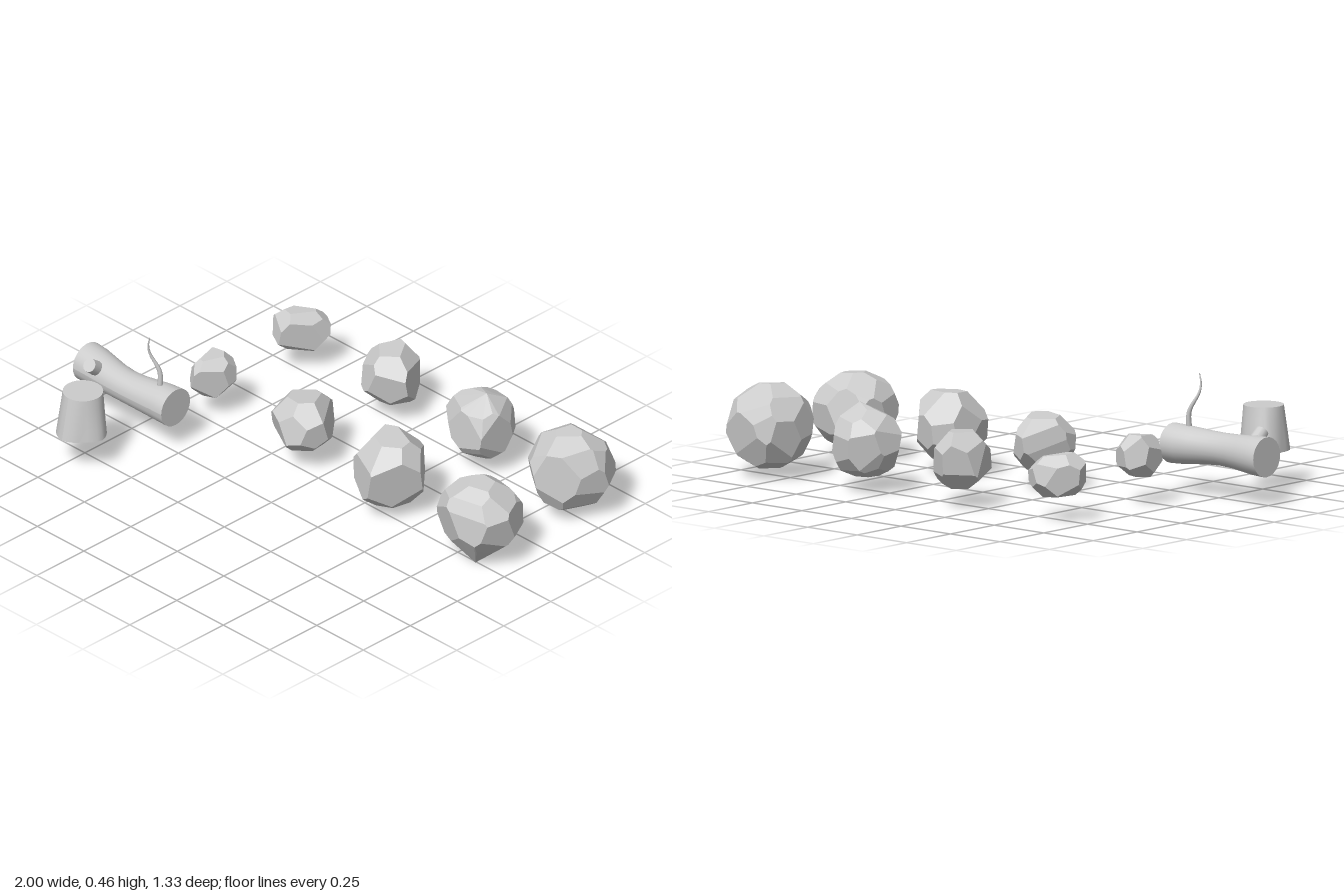
import * as THREE from 'three';
import { ConvexGeometry } from 'three/addons/geometries/ConvexGeometry.js';

const grey = new THREE.MeshStandardMaterial({ color: 0xcccccc });
const greyThin = new THREE.MeshStandardMaterial({ color: 0xcccccc, side: THREE.DoubleSide });

function part(name, geometry, material = grey) {
  const mesh = new THREE.Mesh(geometry, material);
  mesh.name = name;
  return mesh;
}

function seeded(seed) {
  let s = seed * 7919 + 17;
  return () => (s = (s * 16807) % 2147483647) / 2147483647;
}

// Corner points of the solid bounded by planes n.p <= d
function cornersOf(planes) {
  const points = [];
  const n = planes.length;
  for (let i = 0; i < n; i++) for (let j = i + 1; j < n; j++) for (let k = j + 1; k < n; k++) {
    const [a, b, c] = [planes[i], planes[j], planes[k]];
    const bc = b.n.clone().cross(c.n);
    const det = a.n.dot(bc);
    if (Math.abs(det) < 1e-3) continue;
    const p = bc.multiplyScalar(a.d)
      .addScaledVector(c.n.clone().cross(a.n), b.d)
      .addScaledVector(a.n.clone().cross(b.n), c.d)
      .divideScalar(det);
    if (planes.every((q) => q.n.dot(p) < q.d + 1e-6)) points.push(p);
  }
  return points;
}

// Rock chiselled by planes: plan outline [x, z] in hundredths, height range,
// facets per slanted ring, and optional protruding corners
function rock({ name, outline, y: [y0, y1], rings, seed, peaks = [] }) {
  const random = seeded(seed);
  const flat = outline.map(([x, z]) => new THREE.Vector2(x / 100, z / 100));
  const box = new THREE.Box2().setFromPoints(flat);
  const mid = box.getCenter(new THREE.Vector2());
  flat.forEach((p) => p.sub(mid));
  const half = (y1 - y0) / 2;
  const planes = [];
  const cut = (angle, tilt, scale) => {
    const dir = new THREE.Vector2(Math.cos(angle), Math.sin(angle));
    const reach = Math.max(...flat.map((p) => p.dot(dir)));
    const c = Math.cos(tilt), s = Math.sin(tilt);
    planes.push({ n: new THREE.Vector3(dir.x * c, s, dir.y * c), d: scale * Math.hypot(c * reach, s * half) });
  };
  // side facets along the outline
  flat.forEach((p, i) => {
    const q = flat[(i + 1) % flat.length];
    cut(Math.atan2(-(q.x - p.x), q.y - p.y), (i % 2 ? 1 : -1) * (0.06 + random() * 0.14), 0.99);
  });
  // slanted rings above and below, then the crown and base
  for (const side of [1, -1]) {
    rings.forEach(([count, tilt]) => {
      const turn = random() * 6;
      for (let i = 0; i < count; i++) {
        cut(turn + ((i + random() * 0.4) / count) * Math.PI * 2,
          side * (tilt + (random() - 0.5) * 0.25), 0.95 + random() * 0.06);
      }
    });
    cut(random() * 6, side * (1.47 + random() * 0.05), 0.99);
  }
  const points = cornersOf(planes);
  const centre = new THREE.Vector3(mid.x, (y0 + y1) / 2, mid.y);
  peaks.forEach((p) => points.push(new THREE.Vector3(...p).sub(centre)));
  const mesh = part(name, new ConvexGeometry(points));
  mesh.position.copy(centre);
  return mesh;
}

const few = [[5, 0.75]];
const some = [[6, 0.7]];
const many = [[7, 0.5], [5, 1.0]];

const rocks = [
  { name: 'smallRockBack', seed: 1, rings: few, y: [0.1, 0.26],
    outline: [[-71, -50], [-64, -58], [-58, -61], [-53, -59], [-54, -53], [-62, -41], [-69, -44]] },
  { name: 'smallRockFront', seed: 2, rings: few, y: [0.11, 0.27],
    outline: [[-61, -13], [-54, -10], [-53.5, -4], [-61, 6.5], [-66.5, 2], [-67, -7]] },
  { name: 'mediumRockBack', seed: 3, rings: few, y: [0.08, 0.295],
    outline: [[-15, -65], [-7, -61], [-1, -48], [-13, -41], [-21, -44], [-23.5, -52], [-23, -58]] },
  { name: 'mediumRockFront', seed: 4, rings: some, y: [0.085, 0.29],
    outline: [[-15, -19], [-9, -17], [0, -4], [-3.5, 4], [-12.5, 7], [-23, 2], [-24, -3], [-20, -11]] },
  { name: 'largeRockBack', seed: 5, rings: many, y: [0.06, 0.32], peaks: [[0.4, 0.34, -0.5]],
    outline: [[33, -64.5], [43, -62], [48.5, -55], [47, -40], [30, -40], [22.5, -47], [24, -57]] },
  { name: 'largeRockFront', seed: 6, rings: some, y: [0.055, 0.325],
    outline: [[31, -19], [40, -17], [49.5, -6], [39, 11.5], [24, 5], [22, -4], [23.5, -14]] },
  { name: 'hugeRockBack', seed: 7, rings: many, y: [0.035, 0.36],
    outline: [[78, -66.5], [94, -65], [99.5, -55], [95.5, -44], [82.5, -34], [70, -43], [68.5, -53], [72, -63.5]] },
  { name: 'hugeRockFront', seed: 8, rings: many, y: [0.05, 0.34], peaks: [[0.85, 0.005, 0.005]],
    outline: [[83, -18.5], [94, -16], [99, -5], [95, 6], [84, 10], [70, 6], [68, -4], [71.5, -14]] },
];

// Log: a cylinder along x, slimmer and bowed towards the middle
function log() {
  const geometry = new THREE.CylinderGeometry(0.077, 0.077, 0.475, 24, 8);
  geometry.rotateZ(Math.PI / 2);
  const pos = geometry.attributes.position;
  for (let i = 0; i < pos.count; i++) {
    const bow = Math.cos((pos.getX(i) / 0.475) * Math.PI) ** 2;
    const girth = 1 - 0.18 * bow;
    pos.setXYZ(i, pos.getX(i) - 0.7625, pos.getY(i) * girth + 0.192, pos.getZ(i) * girth + 0.24 + 0.02 * bow);
  }
  geometry.computeVertexNormals();
  return part('log', geometry);
}

// Short sawn-off branch
function stub() {
  const mesh = part('branchStub', new THREE.CylinderGeometry(0.027, 0.031, 0.1, 12));
  const axis = new THREE.Vector3(0.08, 0.62, 0.78).normalize();
  mesh.quaternion.setFromUnitVectors(new THREE.Vector3(0, 1, 0), axis);
  mesh.position.set(-0.887, 0.265, 0.341).addScaledVector(axis, -0.05);
  return mesh;
}

// Crooked twig: a tube tapering to its tip
function twig() {
  const path = new THREE.CatmullRomCurve3([
    [-0.6, 0.24, 0.25], [-0.603, 0.32, 0.247], [-0.637, 0.395, 0.266], [-0.64, 0.43, 0.272], [-0.632, 0.468, 0.272],
  ].map((p) => new THREE.Vector3(...p)));
  const steps = 16, sides = 8;
  const geometry = new THREE.TubeGeometry(path, steps, 0.0125, sides);
  const pos = geometry.attributes.position;
  const v = new THREE.Vector3();
  for (let i = 0; i < pos.count; i++) {
    const t = Math.floor(i / (sides + 1)) / steps;
    const c = path.getPointAt(t);
    v.fromBufferAttribute(pos, i).sub(c).multiplyScalar(1 - 0.85 * t).add(c);
    pos.setXYZ(i, v.x, v.y, v.z);
  }
  return part('twig', geometry, greyThin);
}

// Stump: round on top, lobed and open at the foot
function stump() {
  const group = new THREE.Group();
  group.name = 'stump';
  const lobes = [0.112, 0.092, 0.106, 0.088, 0.096, 0.124, 0.098, 0.101];
  const wall = new THREE.CylinderGeometry(1, 1, 0.173, 32, 4, true);
  const pos = wall.attributes.position;
  for (let i = 0; i < pos.count; i++) {
    const x = pos.getX(i), y = pos.getY(i), z = pos.getZ(i);
    const a = ((Math.atan2(x, z) / (Math.PI * 2) + 1) % 1) * 8;
    const k = Math.floor(a) % 8;
    const foot = THREE.MathUtils.lerp(lobes[k], lobes[(k + 1) % 8], a - Math.floor(a));
    const r = THREE.MathUtils.lerp(foot, 0.077, y / 0.173 + 0.5);
    pos.setXYZ(i, x * r, y, z * r);
  }
  wall.computeVertexNormals();
  const top = part('stumpTop', new THREE.CircleGeometry(0.077, 32).rotateX(-Math.PI / 2));
  top.position.y = 0.0865;
  group.add(part('stumpWall', wall, greyThin), top);
  group.position.set(-0.71, 0.2335, 0.55);
  return group;
}

export function createModel() {
  const model = new THREE.Group();
  model.name = 'rocksAndWood';
  rocks.forEach((r) => model.add(rock(r)));
  model.add(log(), stub(), twig(), stump());
  return model;
}
